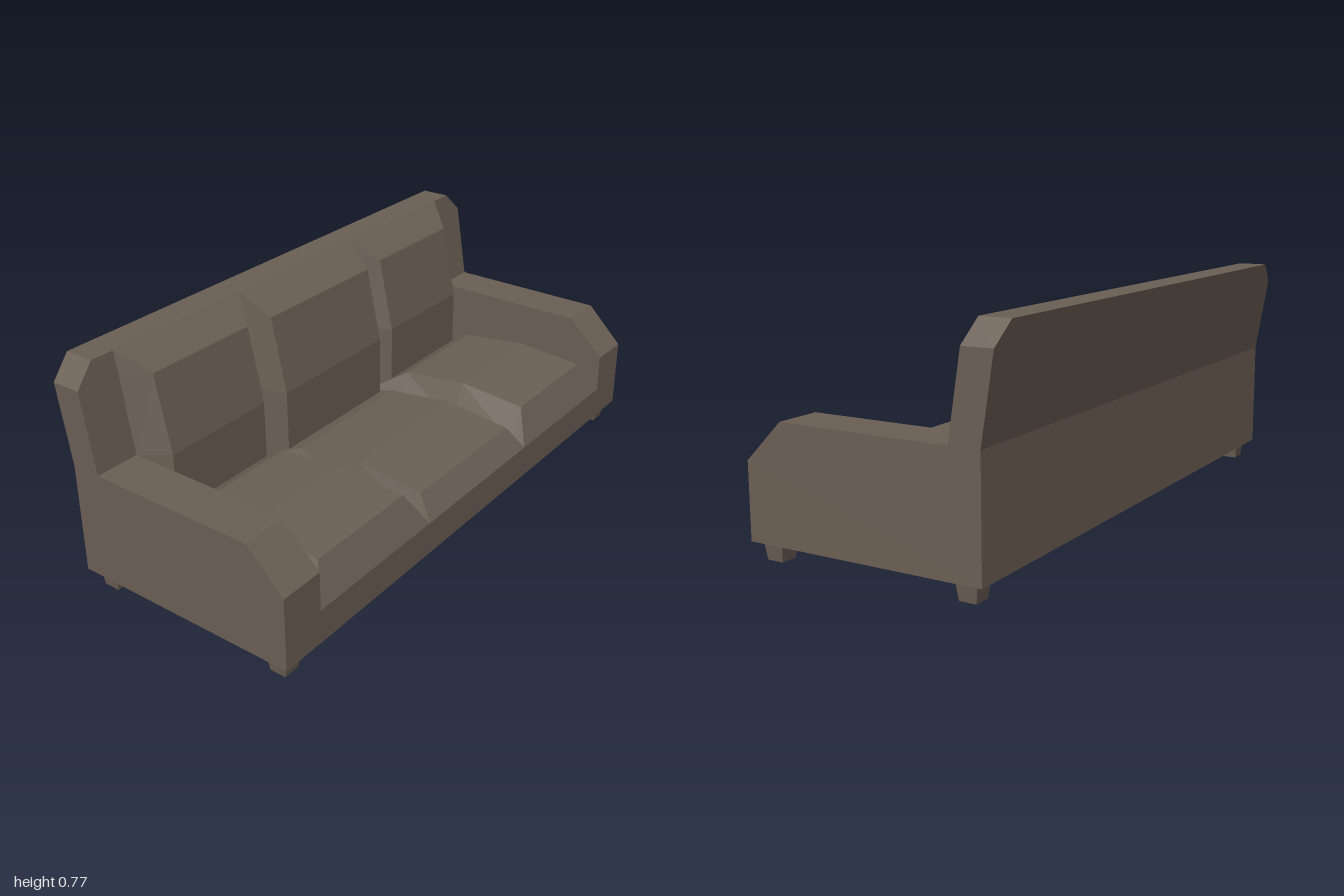
import * as THREE from 'three';
import { ConvexGeometry } from 'three/addons/geometries/ConvexGeometry.js';

const fabric = new THREE.MeshStandardMaterial({ color: 0x6b5f54, flatShading: true });

function add(group, name, geometry) {
  const mesh = new THREE.Mesh(geometry, fabric);
  mesh.name = name;
  group.add(mesh);
  return mesh;
}

// Bevelled cushion surface. Each row is [outer point, inner point]; a row with
// only an outer point is a closing edge. zOut/zIn are [high, low] z limits.
function cushionGeometry(rows, zOut, zIn) {
  const grid = rows.map(([o, i]) => {
    const zi = i ? zIn : zOut, p = i || o;
    return [
      new THREE.Vector3(o[0], o[1], zOut[0]), new THREE.Vector3(p[0], p[1], zi[0]),
      new THREE.Vector3(p[0], p[1], zi[1]), new THREE.Vector3(o[0], o[1], zOut[1]),
    ];
  });
  const points = [];
  const tri = (a, b, c) => {
    if (!a.equals(b) && !b.equals(c) && !a.equals(c)) points.push(a, b, c);
  };
  for (let r = 0; r < grid.length - 1; r++) {
    for (let c = 0; c < 3; c++) {
      const a = grid[r][c], b = grid[r][c + 1], d = grid[r + 1][c + 1], e = grid[r + 1][c];
      tri(a, b, d);
      tri(a, d, e);
    }
  }
  const geometry = new THREE.BufferGeometry().setFromPoints(points);
  geometry.computeVertexNormals();
  return geometry;
}

export function createModel() {
  const sofa = new THREE.Group();
  sofa.name = 'sofa';

  // Base under the seat
  add(sofa, 'base', new THREE.BoxGeometry(0.815, 0.115, 1.69)).position.set(0.0265, 0.1175, 0);

  // Arms with a sloped front corner
  const armShape = new THREE.Shape([
    [-0.381, 0.06], [0.434, 0.06], [0.434, 0.308], [0.304, 0.437], [-0.381, 0.437],
  ].map(([x, y]) => new THREE.Vector2(x, y)));
  for (const [name, z] of [['leftArm', 0.845], ['rightArm', -1]]) {
    const geometry = new THREE.ExtrudeGeometry(armShape, { depth: 0.155, bevelEnabled: false });
    add(sofa, name, geometry).position.z = z;
  }

  // Backrest: upright lower part, leaning upper part with clipped top corners
  add(sofa, 'lowerBack', new THREE.BoxGeometry(0.103, 0.262, 1.69)).position.set(-0.3295, 0.306, 0);
  const backPoints = [];
  for (const [y, z] of [[0.437, 1], [0.705, 1], [0.775, 0.93]]) {
    const lean = -0.055 * (y - 0.437) / 0.338;
    for (const x of [-0.381, -0.278]) {
      for (const s of [1, -1]) backPoints.push(new THREE.Vector3(x + lean, y, s * z));
    }
  }
  add(sofa, 'upperBack', new ConvexGeometry(backPoints));

  // Seat and back cushions; the middle pair has a lower seat and a fuller back
  const cushions = [
    { side: 'left', zOut: [0.845, 0.295], zIn: [0.78, 0.36], seat: 0.29, crest: 0.31, rear: 0.28, face: -0.187 },
    { side: 'middle', zOut: [0.295, -0.295], zIn: [0.263, -0.263], seat: 0.25, crest: 0.275, rear: 0.245, face: -0.171 },
    { side: 'right', zOut: [-0.295, -0.845], zIn: [-0.36, -0.78], seat: 0.29, crest: 0.31, rear: 0.28, face: -0.187 },
  ];
  for (const { side, zOut, zIn, seat, crest, rear, face } of cushions) {
    add(sofa, side + 'SeatCushion', cushionGeometry([
      [[0.434, 0.176]],
      [[0.375, 0.176], [0.375, seat]],
      [[0.13, 0.176], [0.13, crest]],
      [[-0.115, 0.176], [-0.115, rear]],
      [[-0.278, 0.176]],
    ], zOut, zIn));
    add(sofa, side + 'BackCushion', cushionGeometry([
      [[-0.278, 0.176], [face, 0.176]],
      [[-0.278, 0.437], [face, 0.437]],
      [[-0.32, 0.698], [face - 0.056, 0.698]],
      [[-0.333, 0.775]],
    ], zOut, zIn));
  }

  // Tapered square feet
  for (const [end, x] of [['front', 0.372], ['rear', -0.314]]) {
    for (const [side, z] of [['Left', 0.94], ['Right', -0.94]]) {
      const geometry = new THREE.CylinderGeometry(0.036 * Math.SQRT2, 0.0285 * Math.SQRT2, 0.06, 4);
      geometry.rotateY(Math.PI / 4);
      add(sofa, end + side + 'Foot', geometry).position.set(x, 0.03, z);
    }
  }
  return sofa;
}
